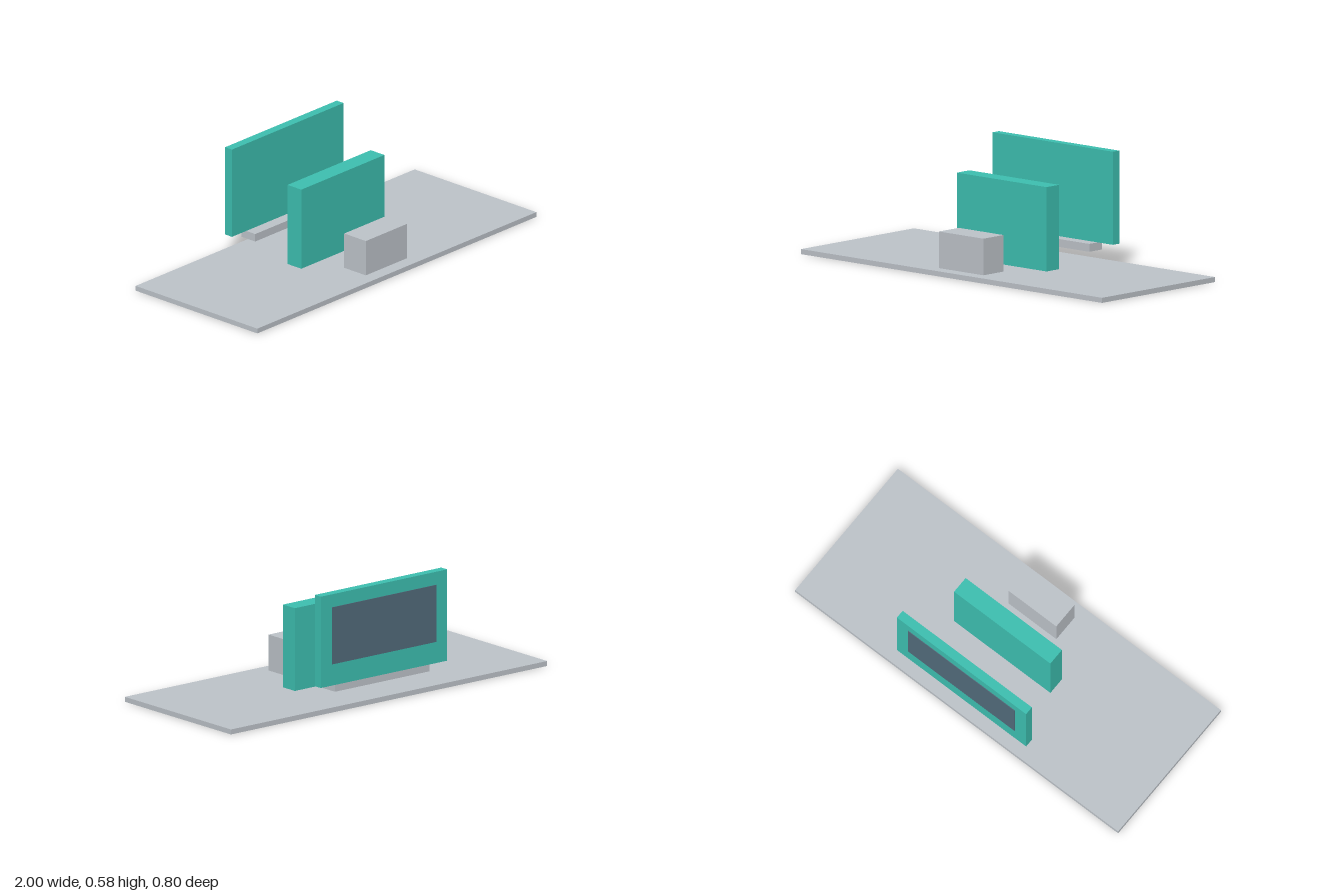
import * as THREE from 'three';

export function createModel() {
  const model = new THREE.Group();
  const mat = (name, color) => {
    const m = new THREE.MeshStandardMaterial({ color });
    m.name = name;
    return m;
  };
  const grey = mat('lightGrey', 0xbdc3c9);
  const teal = mat('teal', 0x3dbfb0);
  const slate = mat('slate', 0x526b7b);

  // Box centred on x, given its width and its y and z ranges
  const block = (name, material, width, [y0, y1], [z0, z1]) => {
    const mesh = new THREE.Mesh(new THREE.BoxGeometry(width, y1 - y0, z1 - z0), material);
    mesh.position.set(0, (y0 + y1) / 2, (z0 + z1) / 2);
    mesh.name = name;
    model.add(mesh);
  };

  block('basePlate', grey, 2, [0, 0.025], [-0.4, 0.4]);
  block('frontBlock', grey, 0.296, [0.02, 0.205], [0.19, 0.332]);
  block('middlePanel', teal, 0.596, [0.01, 0.44], [-0.045, 0.045]);

  // Raised rear panel on its ledge, with a thin dark plate on its back
  block('rearLedge', grey, 0.596, [0.083, 0.122], [-0.348, -0.258]);
  block('rearPanel', teal, 0.8, [0.122, 0.58], [-0.362, -0.317]);
  block('screen', slate, 0.66, [0.229, 0.515], [-0.365, -0.36]);

  return model;
}
